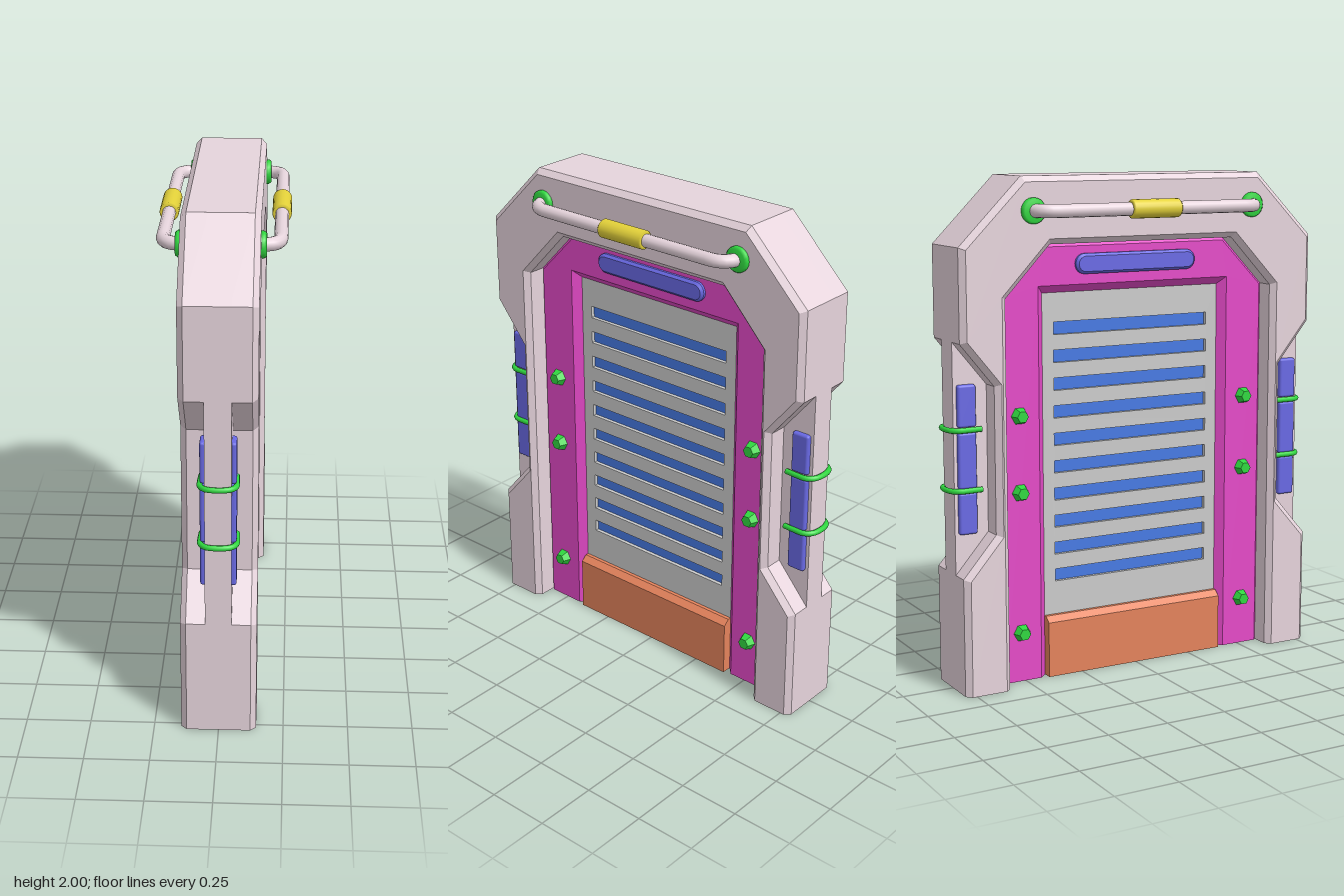
import * as THREE from 'three';
import { RoundedBoxGeometry } from 'three/addons/geometries/RoundedBoxGeometry.js';

const mat = (color, flatShading = false) => new THREE.MeshStandardMaterial({ color, flatShading });
const frameMat = mat(0xe6d4dc, true), pipeMat = mat(0xe6d4dc), plateMat = mat(0xcccccc, true);
const magenta = mat(0xe54ac8, true), orange = mat(0xe4835c, true), slotBlue = mat(0x477ae4, true);
const lightBlue = mat(0x6969e4), green = mat(0x30d840), boltGreen = mat(0x30d840, true), yellow = mat(0xe4d23a);

function add(parent, name, geometry, material, x = 0, y = 0, z = 0) {
  const mesh = new THREE.Mesh(geometry, material);
  mesh.name = name;
  mesh.position.set(x, y, z);
  parent.add(mesh);
}

// Arch outline from half profiles of [z, y] points running bottom to top, mirrored across z = 0
function arch(outer, inner) {
  const flip = (pts) => pts.map(([z, y]) => [-z, y]);
  const pts = [...outer, ...flip(outer).reverse(), ...flip(inner), ...inner.slice().reverse()];
  return new THREE.Shape(pts.map(([z, y]) => new THREE.Vector2(z, y)));
}

// Extrude an upright outline between x0 and x1, with an inward bevel that leaves the foot flat
function slab(shape, x0, x1, bevel = 0) {
  const geo = new THREE.ExtrudeGeometry(shape, {
    depth: x1 - x0 - 2 * bevel, bevelEnabled: bevel > 0, bevelSize: bevel,
    bevelThickness: bevel, bevelOffset: -bevel, bevelSegments: 1, curveSegments: 10,
  });
  geo.translate(0, 0, x0 + bevel).rotateY(Math.PI / 2);
  const p = geo.attributes.position;
  for (let i = 0; i < p.count; i++) if (p.getY(i) < 0.04) p.setY(i, 0);
  geo.computeVertexNormals();
  return geo;
}

function rectangle(Path, z, y0, y1) {
  return new Path([[-z, y0], [z, y0], [z, y1], [-z, y1]].map(([a, b]) => new THREE.Vector2(a, b)));
}

// Handle bar path with rounded corners
function handlePath() {
  const v = (x, z) => new THREE.Vector3(x, 1.87, z);
  const x = 0.215, e = 0.49, r = 0.08, path = new THREE.CurvePath();
  path.add(new THREE.LineCurve3(v(0.11, e), v(x - r, e)));
  path.add(new THREE.QuadraticBezierCurve3(v(x - r, e), v(x, e), v(x, e - r)));
  path.add(new THREE.LineCurve3(v(x, e - r), v(x, r - e)));
  path.add(new THREE.QuadraticBezierCurve3(v(x, r - e), v(x, -e), v(x - r, -e)));
  path.add(new THREE.LineCurve3(v(x - r, -e), v(0.11, -e)));
  return path;
}

const lathe = (pts) => new THREE.LatheGeometry(pts.map(([r, h]) => new THREE.Vector2(r, h)), 20);

const opening = [[0.6, 0], [0.6, 1.54], [0.41, 1.74]];
const fullEdge = [[0.79, 0], [0.79, 1.74], [0.53, 2]];
const notchedEdge = [[0.79, 0], [0.79, 0.47], [0.65, 0.63], [0.65, 1.21], [0.79, 1.38], [0.79, 1.74], [0.53, 2]];

// Everything on one face of the door
function faceSide() {
  const side = new THREE.Group();
  side.name = 'doorFace';
  add(side, 'notchedFrame', slab(arch(notchedEdge, opening), 0.02, 0.145, 0.022), frameMat);

  // Rounded light above the panel
  const lamp = new THREE.Shape();
  lamp.absarc(0.23, 1.655, 0.04, -Math.PI / 2, Math.PI / 2);
  lamp.absarc(-0.23, 1.655, 0.04, Math.PI / 2, Math.PI * 1.5);
  add(side, 'topLight', slab(lamp, 0.04, 0.08, 0.01), lightBlue);

  // Hexagonal bolts
  const bolt = new THREE.CylinderGeometry(0.024, 0.037, 0.035, 6).rotateZ(-Math.PI / 2);
  for (const z of [-0.515, 0.515])
    for (const y of [0.2, 0.77, 1.075]) add(side, 'bolt', bolt, boltGreen, 0.075, y, z);

  // Handle bar with flanges and grip
  add(side, 'handleBar', new THREE.TubeGeometry(handlePath(), 64, 0.026, 12), pipeMat);
  const flange = lathe([[0, -0.015], [0.05, -0.015], [0.05, 0.008], [0.042, 0.018], [0, 0.018]]).rotateZ(-Math.PI / 2);
  for (const z of [-0.49, 0.49]) add(side, 'handleFlange', flange, green, 0.147, 1.87, z);
  const grip = lathe([[0, -0.108], [0.031, -0.108], [0.037, -0.102], [0.037, 0.102], [0.031, 0.108], [0, 0.108]]);
  add(side, 'handleGrip', grip.rotateX(Math.PI / 2), yellow, 0.215, 1.87, 0);

  // Light strips in the side notches
  for (const z of [-0.738, 0.738])
    for (const [y0, y1] of [[0.63, 0.795], [0.81, 1.03], [1.05, 1.215]])
      add(side, 'sideLight', new RoundedBoxGeometry(0.04, y1 - y0, 0.076, 2, 0.01), lightBlue, 0.048, (y0 + y1) / 2, z);
  return side;
}

export function createModel() {
  const model = new THREE.Group();
  model.name = 'door';

  // Core of the outer frame and the inner surround
  add(model, 'frameCore', slab(arch(fullEdge, opening), -0.05, 0.05), frameMat);
  const surroundOuter = [[0.62, 0], [0.62, 1.55], [0.42, 1.755]];
  const surroundInner = [[0.4, 0], [0.4, 1.545]];
  add(model, 'innerSurround', slab(arch(surroundOuter, surroundInner), -0.06, 0.06, 0.03), magenta);

  // Slotted panel over a coloured backing
  const panel = rectangle(THREE.Shape, 0.405, 0.1, 1.55);
  for (let i = 0; i < 10; i++) {
    const y = 0.408 + i * 0.1107;
    panel.holes.push(rectangle(THREE.Path, 0.35, y - 0.025, y + 0.025));
  }
  add(model, 'slottedPanel', slab(panel, -0.03, 0.03), plateMat);
  add(model, 'slotBacking', new THREE.BoxGeometry(0.03, 1.2, 0.78), slotBlue, 0, 0.9, 0);

  // Kick plate with a sloping top edge
  const kick = new THREE.Shape([[-0.07, 0], [0.07, 0], [0.07, 0.225], [0.045, 0.247], [-0.045, 0.247], [-0.07, 0.225]]
    .map(([x, y]) => new THREE.Vector2(x, y)));
  add(model, 'kickPlate', new THREE.ExtrudeGeometry(kick, { depth: 0.8, bevelEnabled: false }), orange, 0, 0, -0.4);

  // Hoops wrapping the frame edge in the notches
  for (const s of [-1, 1]) {
    const half = [[0.066, 0.68], [0.068, 0.73], [0.066, 0.773], [0.04, 0.8]];
    const pts = [...half.map(([x, z]) => [-x, z]), ...half.slice().reverse()]
      .map(([x, z]) => new THREE.Vector3(x, 0, s * z));
    const hoop = new THREE.TubeGeometry(new THREE.CatmullRomCurve3(pts, false, 'centripetal'), 40, 0.011, 8);
    for (const y of [0.803, 1.04]) add(model, 'hoop', hoop, green, 0, y, 0);
  }

  const right = faceSide(), left = faceSide();
  left.rotation.y = Math.PI;
  model.add(right, left);
  return model;
}
